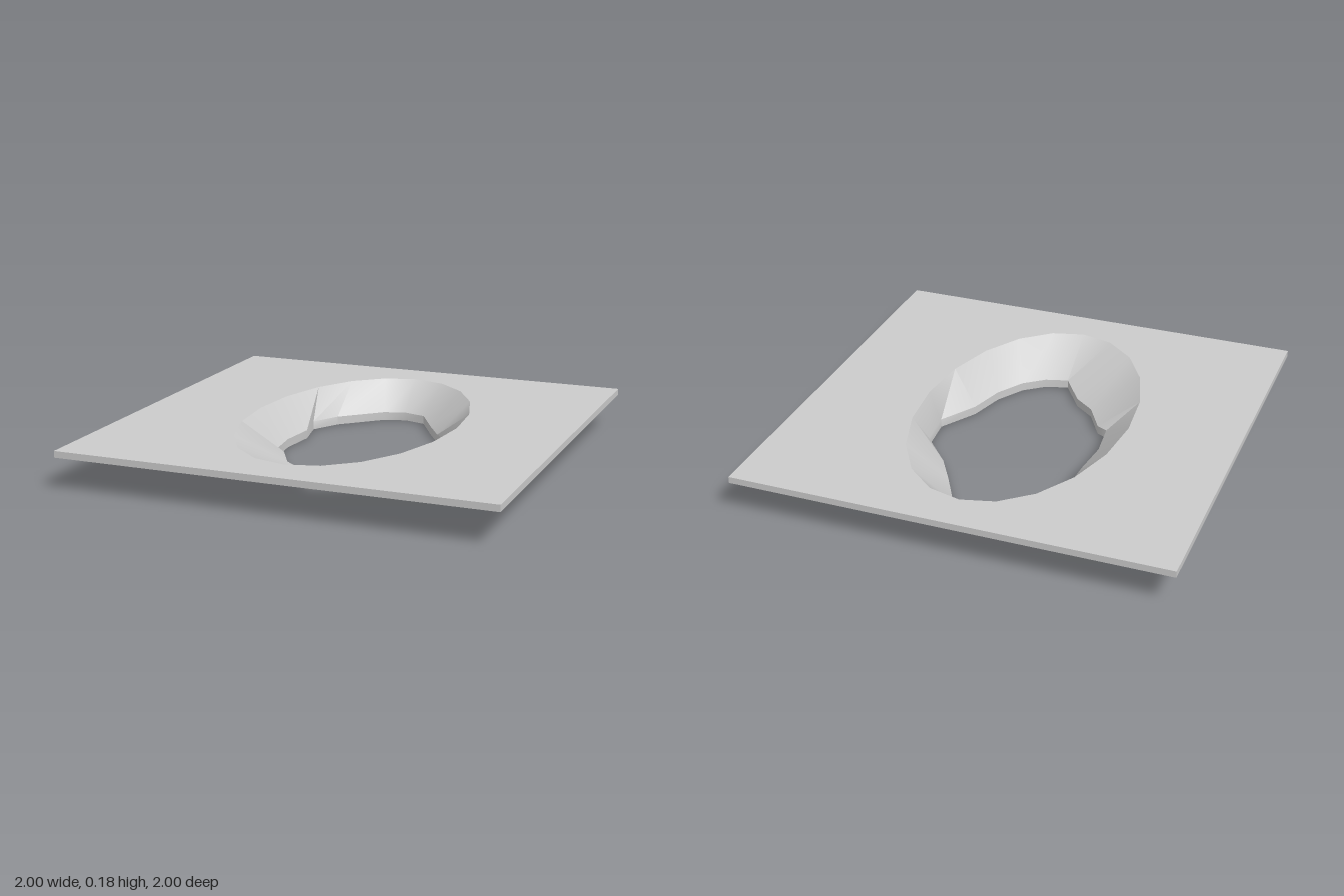
import * as THREE from 'three';
import { toCreasedNormals } from 'three/addons/utils/BufferGeometryUtils.js';

const SIDES = 20;
const TOP = 0.18;          // top face of the plate
const PLATE = 0.03;        // plate thickness
const WALL = 0.04;         // vertical thickness of the sloping wall

// Upper opening: a 20-sided ellipse, starting at the back and going towards +x
const outer = Array.from({ length: SIDES }, (_, i) => {
  const a = (i / SIDES) * Math.PI * 2;
  return [0.49 * Math.sin(a), -0.817 * Math.cos(a)];
});

// Lower opening: irregular broken edge, one [x, z] point per side of the ellipse
const inner = [
  [0, -0.67], [0.105, -0.64], [0.2, -0.47], [0.28, -0.34], [0.42, -0.18],
  [0.435, 0], [0.33, 0.17], [0.28, 0.34], [0.2, 0.47], [0.105, 0.545],
  [0, 0.575], [-0.105, 0.415], [-0.2, 0.34], [-0.28, 0.2], [-0.33, 0.175],
  [-0.35, 0], [-0.33, -0.18], [-0.365, -0.34], [-0.29, -0.47], [-0.105, -0.64],
];

// Joins closed rings of points into a closed skin
function loftRings(rings) {
  const positions = rings.flatMap(({ points, y }) => points.flatMap(([x, z]) => [x, y, z]));
  const index = [];
  for (let r = 0; r < rings.length; r++) {
    const a = r * SIDES;
    const b = ((r + 1) % rings.length) * SIDES;
    for (let i = 0; i < SIDES; i++) {
      const j = (i + 1) % SIDES;
      index.push(a + i, b + i, a + j, a + j, b + i, b + j);
    }
  }
  const geometry = new THREE.BufferGeometry();
  geometry.setAttribute('position', new THREE.Float32BufferAttribute(positions, 3));
  geometry.setIndex(index);
  return toCreasedNormals(geometry, 0.6);
}

export function createModel() {
  const model = new THREE.Group();
  model.name = 'plateWithCrater';
  const material = new THREE.MeshStandardMaterial({ color: 0xcccccc });

  // Square plate with the elliptical opening
  const square = new THREE.Shape([
    new THREE.Vector2(-1, -1), new THREE.Vector2(1, -1),
    new THREE.Vector2(1, 1), new THREE.Vector2(-1, 1),
  ]);
  square.holes.push(new THREE.Path(outer.map(([x, z]) => new THREE.Vector2(x, -z))));
  const plateGeometry = new THREE.ExtrudeGeometry(square, { depth: PLATE, bevelEnabled: false });
  plateGeometry.rotateX(-Math.PI / 2);
  plateGeometry.translate(0, TOP - PLATE, 0);
  const plate = new THREE.Mesh(plateGeometry, material);
  plate.name = 'plate';
  model.add(plate);

  // Sloping wall from the ellipse down to the broken lower edge
  const craterWall = new THREE.Mesh(loftRings([
    { points: outer, y: TOP },
    { points: inner, y: WALL },
    { points: inner, y: 0 },
    { points: outer, y: TOP - WALL },
  ]), material);
  craterWall.name = 'craterWall';
  model.add(craterWall);

  return model;
}
